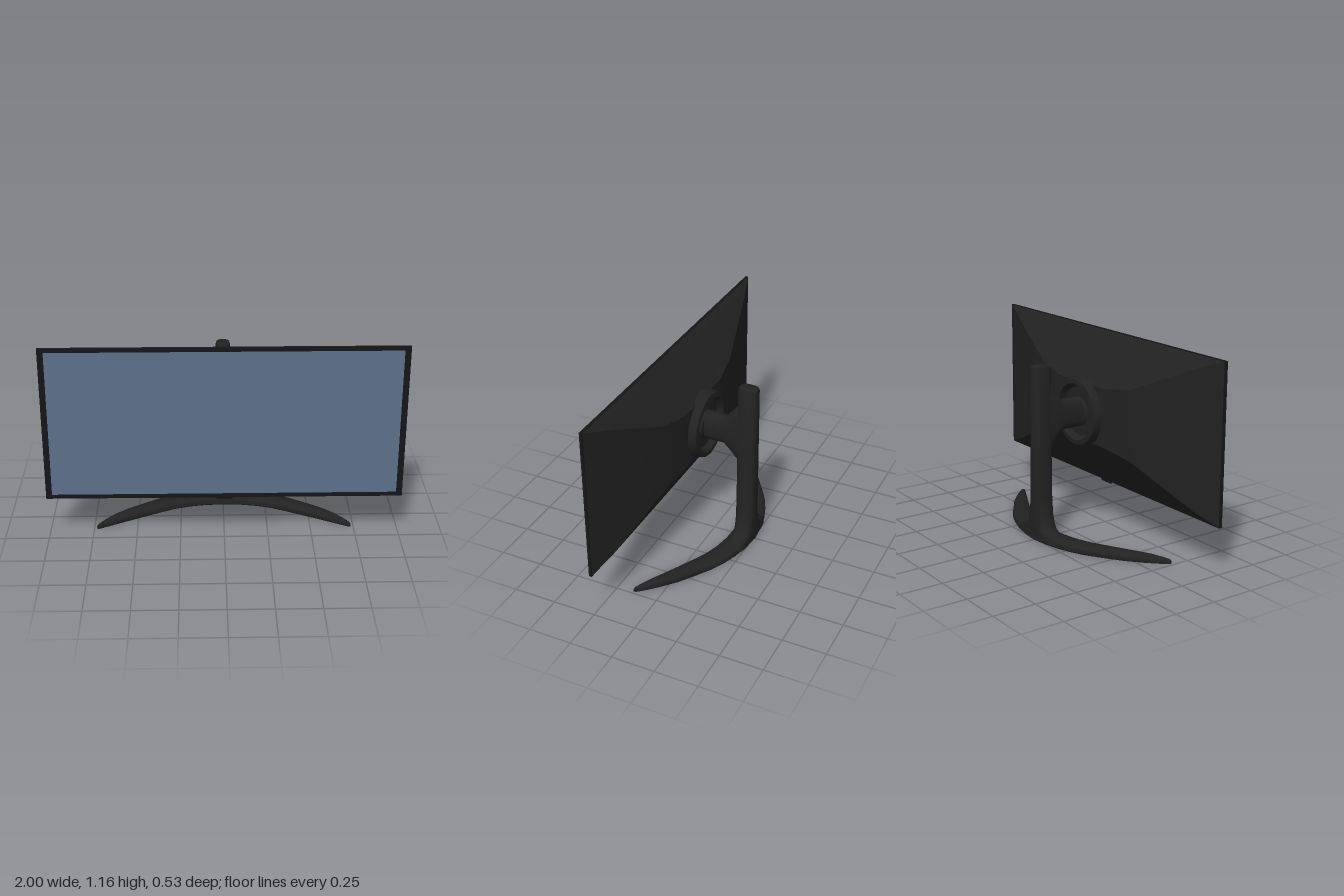
import * as THREE from 'three';
import { toCreasedNormals } from 'three/addons/utils/BufferGeometryUtils.js';

// Skin closed rings of [x, y, z] points, capped at both ends
function loft(rings, crease = 0.7) {
  const n = rings[0].length, last = rings.length - 1, index = [];
  for (let i = 0; i < last; i++) {
    for (let j = 0; j < n; j++) {
      const k = (j + 1) % n, a = i * n, b = a + n;
      index.push(a + j, a + k, b + k, a + j, b + k, b + j);
    }
  }
  for (let j = 1; j < n - 1; j++) {
    index.push(0, j + 1, j, last * n, last * n + j, last * n + j + 1);
  }
  const g = new THREE.BufferGeometry();
  g.setAttribute('position', new THREE.Float32BufferAttribute(rings.flat(2), 3));
  g.setIndex(index);
  return toCreasedNormals(g, crease);
}

// Rounded-box outline as [u, v] pairs
function roundish(hu, hv, n = 16, power = 0.7) {
  const soft = (t) => Math.sign(t) * Math.abs(t) ** power;
  return Array.from({ length: n }, (_, i) => {
    const a = (i / n) * Math.PI * 2;
    return [hu * soft(Math.sin(a)), hv * soft(Math.cos(a))];
  });
}

export function createModel() {
  const group = new THREE.Group();
  const body = new THREE.MeshStandardMaterial({ name: 'charcoal plastic', color: 0x222222 });
  const dark = new THREE.MeshStandardMaterial({ name: 'black bezel', color: 0x161617 });
  const glass = new THREE.MeshStandardMaterial({ name: 'blue screen', color: 0x5d708a });
  const add = (name, geometry, material) => {
    const mesh = new THREE.Mesh(geometry, material);
    mesh.name = name;
    group.add(mesh);
    return mesh;
  };
  const midY = 0.713;

  // Bezel frame with a window for the screen
  const frame = new THREE.Shape([[-1, -0.45], [1, -0.45], [1, 0.45], [-1, 0.45]].map((p) => new THREE.Vector2(...p)));
  frame.holes.push(new THREE.Path([[-0.967, -0.427], [-0.967, 0.427], [0.967, 0.427], [0.967, -0.427]].map((p) => new THREE.Vector2(...p))));
  add('bezel', new THREE.ExtrudeGeometry(frame, { depth: 0.017, bevelEnabled: false }), dark).position.set(0, midY, 0.248);
  add('screen', new THREE.BoxGeometry(1.936, 0.856, 0.008), glass).position.set(0, midY, 0.257);
  add('indicator', new THREE.BoxGeometry(0.09, 0.016, 0.012), dark).position.set(0, 0.258, 0.258);

  // Faceted back shell, tapering to the mount: [z, half width, half height]
  const shell = [[0.25, 1, 0.45], [0.2, 0.84, 0.39], [0.1, 0.42, 0.205], [0.07, 0.22, 0.17]];
  add('backShell', loft(shell.map(([z, w, h]) =>
    [[w, h], [w, -h], [-w, -h], [-w, h]].map(([x, y]) => [x, midY + y, z])), 0.3), body);

  // Round mount with a recessed channel
  const profile = [[0.2, -0.12], [0.203, -0.07], [0.192, -0.025], [0.165, -0.022], [0.145, -0.058], [0.085, -0.058], [0.07, -0.045], [0, -0.045]];
  const mount = toCreasedNormals(new THREE.LatheGeometry(profile.map((p) => new THREE.Vector2(...p)), 16), 0.5);
  mount.rotateX(-Math.PI / 2);
  add('mount', mount, body).position.y = midY;

  // Arm flaring into the column: [z, half width, half height]
  const arm = [[0.06, 0.05, 0.085], [-0.07, 0.05, 0.085], [-0.105, 0.049, 0.122], [-0.14, 0.047, 0.165], [-0.19, 0.042, 0.21]];
  add('arm', loft(arm.map(([z, w, h]) => roundish(w, h).map(([x, y]) => [x, midY + y, z]))), body);

  // Column, spreading at its foot: [y, half width, half depth]
  const column = [[0.01, 0.2, 0.055], [0.05, 0.17, 0.056], [0.07, 0.11, 0.058], [0.1, 0.085, 0.058], [0.15, 0.066, 0.058],
    [0.26, 0.054, 0.058], [0.5, 0.05, 0.058], [1.0, 0.042, 0.058], [1.012, 0.038, 0.054], [1.016, 0.03, 0.046]];
  add('column', loft(column.map(([y, w, d]) => roundish(w, d).map(([x, z]) => [x, y, z - 0.207]))), body);

  // Curved foot: [x, back z, front z, height], mirrored across the middle
  const half = [[0, -0.267, -0.125, 0.052], [0.1, -0.255, -0.122, 0.052], [0.2, -0.235, -0.104, 0.05], [0.29, -0.203, -0.075, 0.049],
    [0.37, -0.165, -0.035, 0.048], [0.46, -0.107, 0.012, 0.047], [0.56, -0.037, 0.065, 0.046], [0.635, 0.03, 0.105, 0.043],
    [0.69, 0.085, 0.135, 0.034], [0.725, 0.125, 0.153, 0.026], [0.734, 0.138, 0.152, 0.018]];
  const foot = [...half.slice(1).reverse().map(([x, ...rest]) => [-x, ...rest]), ...half];
  add('foot', loft(foot.map(([x, b, f, h]) => {
    const s = f - b;
    return [[h, b + s * 0.5], [h * 0.93, f - s * 0.2], [h * 0.6, f - s * 0.03], [h * 0.15, f], [0, f - s * 0.04],
      [0, b + s * 0.04], [h * 0.15, b], [h * 0.6, b + s * 0.03], [h * 0.93, b + s * 0.2]].map(([y, z]) => [x, y, z]);
  })), body);

  return group;
}
